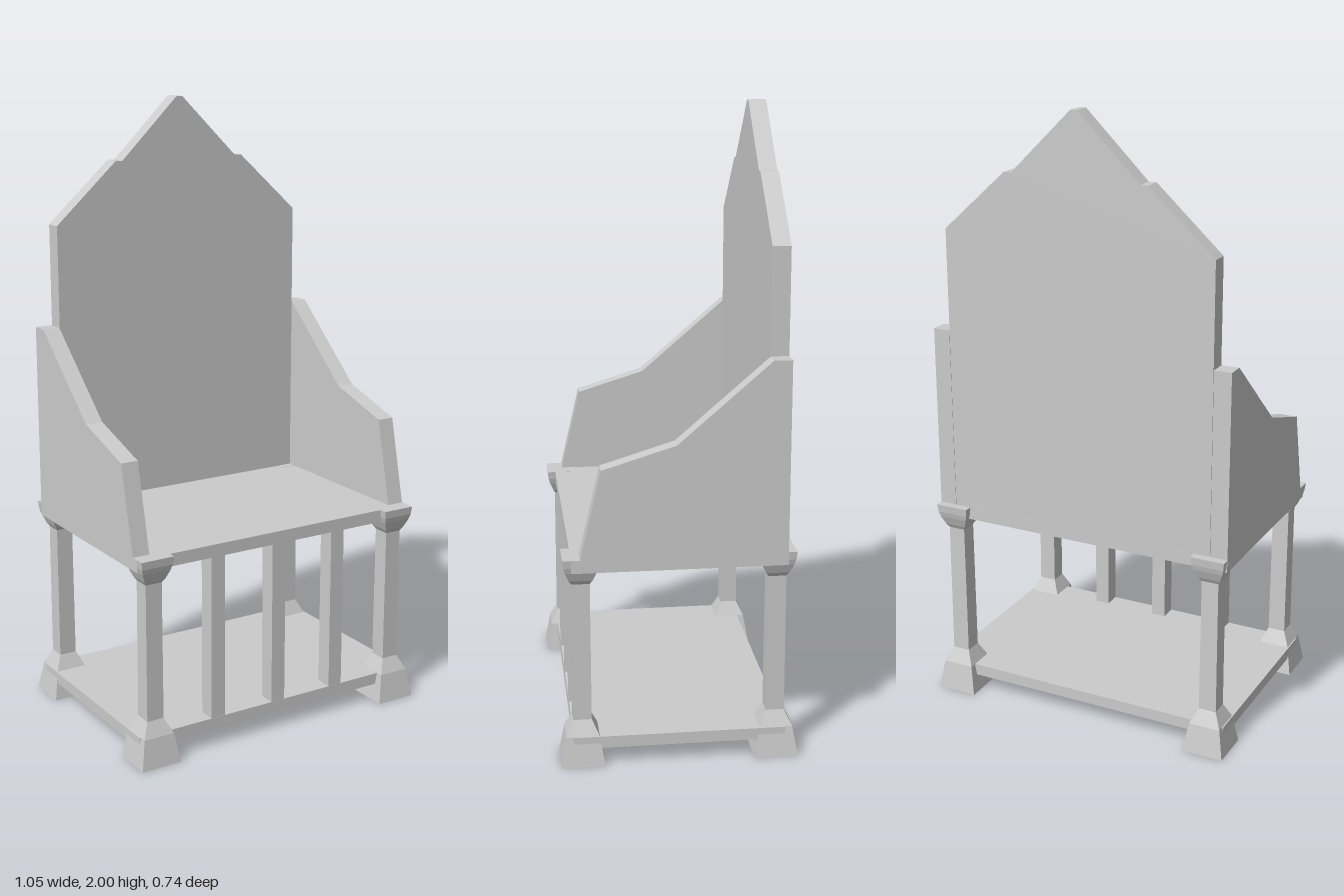
import * as THREE from 'three';

const material = new THREE.MeshStandardMaterial({ color: 0xcccccc, flatShading: true });

function addMesh(parent, name, geometry, x = 0, y = 0, z = 0) {
  const mesh = new THREE.Mesh(geometry, material);
  mesh.name = name;
  mesh.position.set(x, y, z);
  parent.add(mesh);
  return mesh;
}

// Flat panel cut from an outline, centred on its thickness
function panel(points, depth) {
  const shape = new THREE.Shape(points.map(([x, y]) => new THREE.Vector2(x, y)));
  return new THREE.ExtrudeGeometry(shape, { depth, bevelEnabled: false }).translate(0, 0, -depth / 2);
}

// Square post turned from a [half width, height] profile
function squarePost(profile) {
  const points = profile.map(([half, y]) => new THREE.Vector2(half * Math.SQRT2, y));
  return new THREE.LatheGeometry(points, 4, Math.PI / 4);
}

export function createModel() {
  const chair = new THREE.Group();
  chair.name = 'highBackChair';

  const thick = 0.057;
  const legX = 0.457, legZ = 0.303;

  // Seat and lower shelf share the same footprint
  addMesh(chair, 'seat', new THREE.BoxGeometry(1.026, 0.041, 0.664), 0, 0.655, 0);
  addMesh(chair, 'shelf', new THREE.BoxGeometry(1.026, 0.038, 0.664), 0, 0.076, 0);

  // Legs with flared foot and capital
  const legGeometry = squarePost([
    [0, 0], [0.069, 0], [0.052, 0.095], [0.029, 0.143], [0.028, 0.59],
    [0.036, 0.603], [0.048, 0.632], [0.053, 0.65], [0.056, 0.676], [0, 0.676],
  ]);
  for (const sx of [-1, 1]) {
    for (const sz of [-1, 1]) {
      addMesh(chair, sz > 0 ? 'frontLeg' : 'backLeg', legGeometry, sx * legX, 0, sz * legZ);
    }
  }

  // Front spindles
  for (const x of [-0.228, 0, 0.228]) {
    addMesh(chair, 'frontSpindle', new THREE.BoxGeometry(0.05, 0.56, thick), x, 0.365, legZ);
  }

  // Stepped gable back
  const halfOutline = [[0.455, 0.675], [0.455, 1.605], [0.24, 1.8], [0.215, 1.8], [0.011, 2]];
  const mirrored = halfOutline.map(([x, y]) => [-x, y]).reverse();
  addMesh(chair, 'backrest', panel([...halfOutline, ...mirrored], thick), 0, 0, -legZ);

  // Side panels with sloping arm line, outline given as [z, y]
  const side = panel([
    [-0.3315, 0.675], [0.305, 0.675], [0.24, 0.955],
    [0.013, 1.025], [-0.275, 1.275], [-0.3315, 1.275],
  ], thick).rotateY(-Math.PI / 2);
  for (const sx of [-1, 1]) {
    addMesh(chair, sx > 0 ? 'leftSidePanel' : 'rightSidePanel', side, sx * 0.4845, 0, 0);
  }

  return chair;
}
